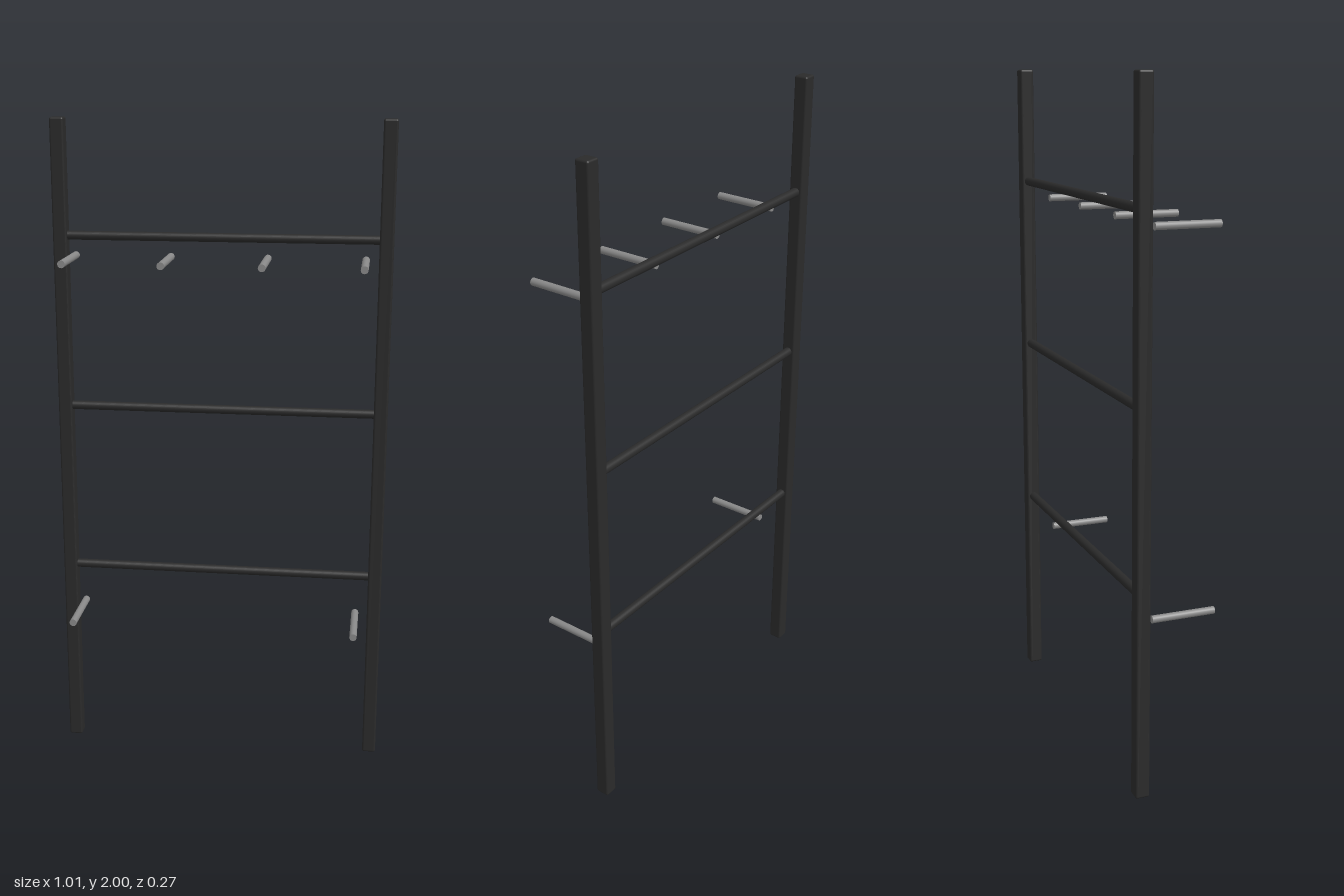
import * as THREE from 'three';
import { RoundedBoxGeometry } from 'three/addons/geometries/RoundedBoxGeometry.js';

export function createModel() {
  const model = new THREE.Group();
  model.name = 'ladderRack';

  const blackMetal = new THREE.MeshStandardMaterial({ color: 0x2a2a2a });
  blackMetal.name = 'black metal';
  const greySteel = new THREE.MeshStandardMaterial({ color: 0x888888 });
  greySteel.name = 'grey steel';

  const frameZ = -0.114;
  const postX = 0.486;

  function add(name, geometry, material, x, y, z) {
    const mesh = new THREE.Mesh(geometry, material);
    mesh.name = name;
    mesh.position.set(x, y, z);
    model.add(mesh);
  }

  // Square uprights with softened edges
  const post = new RoundedBoxGeometry(0.042, 2, 0.042, 3, 0.006);
  add('leftPost', post, blackMetal, postX, 1, frameZ);
  add('rightPost', post, blackMetal, -postX, 1, frameZ);

  // Round rungs spanning the uprights
  const rung = new THREE.CylinderGeometry(0.0135, 0.0135, postX * 2, 24).rotateZ(Math.PI / 2);
  [['lowerRung', 0.605], ['middleRung', 1.131], ['upperRung', 1.656]].forEach(([name, y]) =>
    add(name, rung, blackMetal, 0, y, frameZ));

  // Pegs standing free in front of the frame
  const peg = new THREE.CylinderGeometry(0.011, 0.011, 0.192, 20).rotateX(Math.PI / 2);
  const pegZ = 0.038;
  [-0.428, -0.143, 0.143, 0.428].forEach((x, i) =>
    add(`upperPeg${i + 1}`, peg, greySteel, x, 1.605, pegZ));
  [-0.428, 0.428].forEach((x, i) =>
    add(`lowerPeg${i + 1}`, peg, greySteel, x, 0.504, pegZ));

  return model;
}
